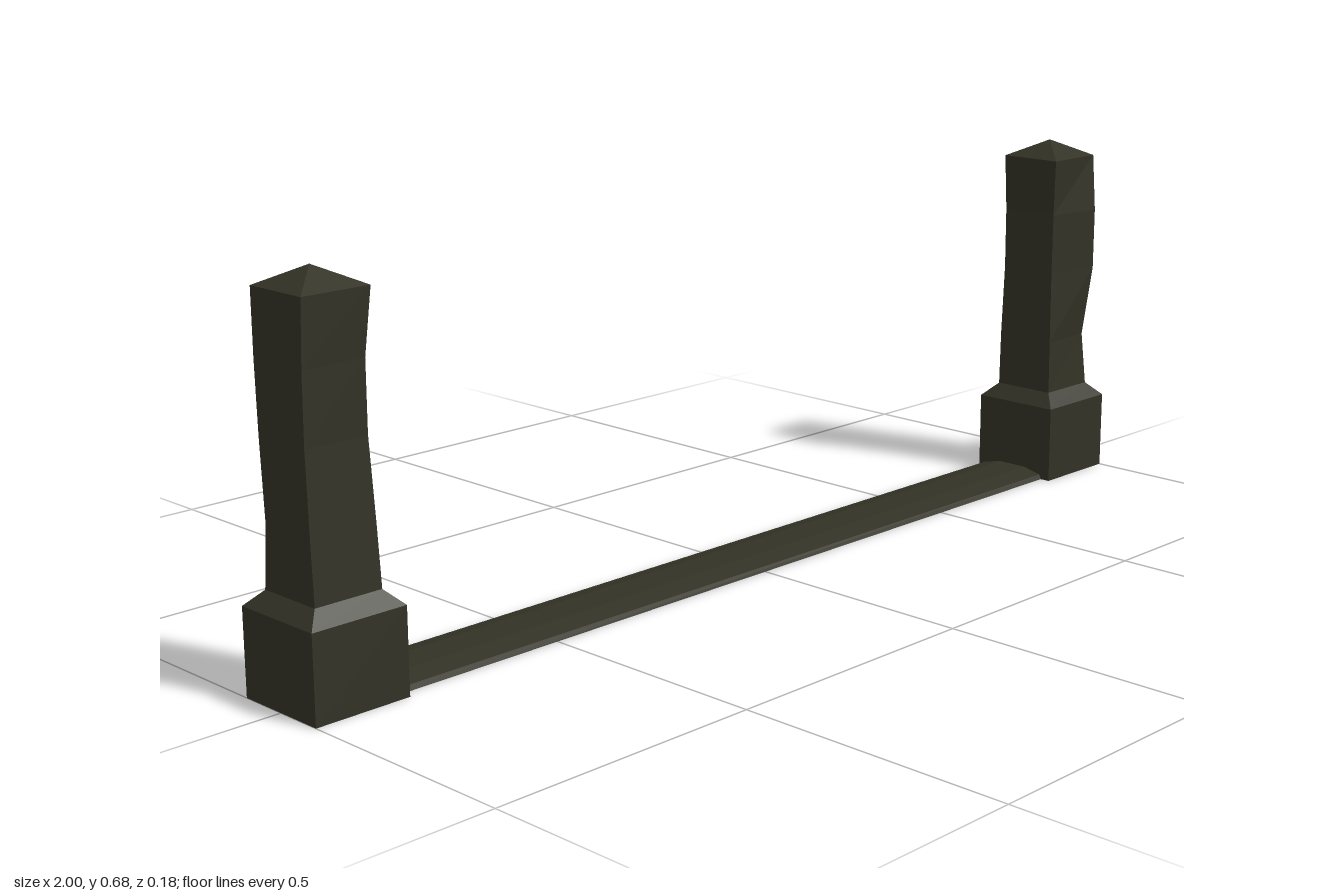
import * as THREE from 'three';

const stone = new THREE.MeshStandardMaterial({ color: 0x333226, flatShading: true });
stone.name = 'dark olive stone';

const BASE = 0.089, SHAFT = 0.063;
// corner order, seen from above: front right, back right, back left, front left
const CORNERS = [[1, 1], [1, -1], [-1, -1], [-1, 1]];

// square ring of four points, with optional [dx, dz] shifts per corner
const ring = (y, half, shifts = []) =>
  CORNERS.map(([sx, sz], i) => {
    const [dx, dz] = shifts[i] || [0, 0];
    return [sx * half + dx, y, sz * half + dz];
  });

// skin stacked rings into walls, with optional flat bottom and pointed top
function loft(rings, { bottom = false, apex = null } = {}) {
  const p = [];
  const tri = (a, b, c) => p.push(...a, ...b, ...c);
  for (let r = 0; r < rings.length - 1; r++) {
    for (let i = 0; i < 4; i++) {
      const j = (i + 1) % 4;
      const [a, b, c, d] = [rings[r][i], rings[r][j], rings[r + 1][j], rings[r + 1][i]];
      tri(a, b, c);
      tri(a, c, d);
    }
  }
  if (bottom) {
    const [a, b, c, d] = rings[0];
    tri(a, c, b);
    tri(a, d, c);
  }
  if (apex !== null) {
    const top = rings[rings.length - 1];
    for (let i = 0; i < 4; i++) tri(top[i], top[(i + 1) % 4], [0, apex, 0]);
  }
  const g = new THREE.BufferGeometry();
  g.setAttribute('position', new THREE.Float32BufferAttribute(p, 3));
  g.computeVertexNormals();
  return g;
}

function mesh(name, geometry) {
  const m = new THREE.Mesh(geometry, stone);
  m.name = name;
  return m;
}

// post: square plinth with sloped shoulder, worn shaft and pyramid cap
function makePost(name, x, wear) {
  const post = new THREE.Group();
  post.name = name;
  post.position.x = x;
  post.add(mesh('plinth', loft(
    [ring(0, BASE), ring(0.15, BASE), ring(0.176, SHAFT)], { bottom: true })));
  post.add(mesh('shaft', loft([
    ring(0.176, SHAFT),
    ...wear.map(([y, shifts]) => ring(y, SHAFT, shifts)),
    ring(0.65, SHAFT)])));
  post.add(mesh('cap', loft([ring(0.65, SHAFT)], { apex: 0.682 })));
  return post;
}

export function createModel() {
  const model = new THREE.Group();
  model.name = 'gateway';

  // uneven wear of each shaft: height and corner shifts
  model.add(makePost('leftPost', 0.911, [
    [0.28, [[-0.008, -0.007], [0, 0], [0.002, 0], [0.004, -0.004]]],
    [0.42, [[-0.003, 0.011], [0, 0], [0.009, 0], [0.008, -0.008]]],
    [0.54, [[-0.003, 0.011], [0, 0.002], [0.008, 0], [0.007, -0.007]]],
  ]));
  model.add(makePost('rightPost', -0.911, [
    [0.28, [[-0.003, -0.004], [-0.002, 0], [0.004, 0.004], [0, -0.004]]],
    [0.42, [[-0.008, -0.01], [-0.008, 0], [0, 0.003], [0, -0.008]]],
    [0.54, [[-0.009, -0.008], [-0.008, 0], [0, 0], [0, -0.006]]],
  ]));

  // low threshold with a shallow faceted top, running between the plinths
  const profile = new THREE.Shape();
  [[-0.07, 0], [0.078, 0], [0.074, 0.009], [0.035, 0.018], [-0.027, 0.018], [-0.066, 0.009]]
    .forEach(([u, v], i) => (i ? profile.lineTo(u, v) : profile.moveTo(u, v)));
  const sill = new THREE.ExtrudeGeometry(profile, { depth: 1.7, bevelEnabled: false });
  sill.translate(0, 0, -0.85);
  sill.rotateY(Math.PI / 2); // extrusion to x, profile u to -z
  model.add(mesh('threshold', sill));

  return model;
}
